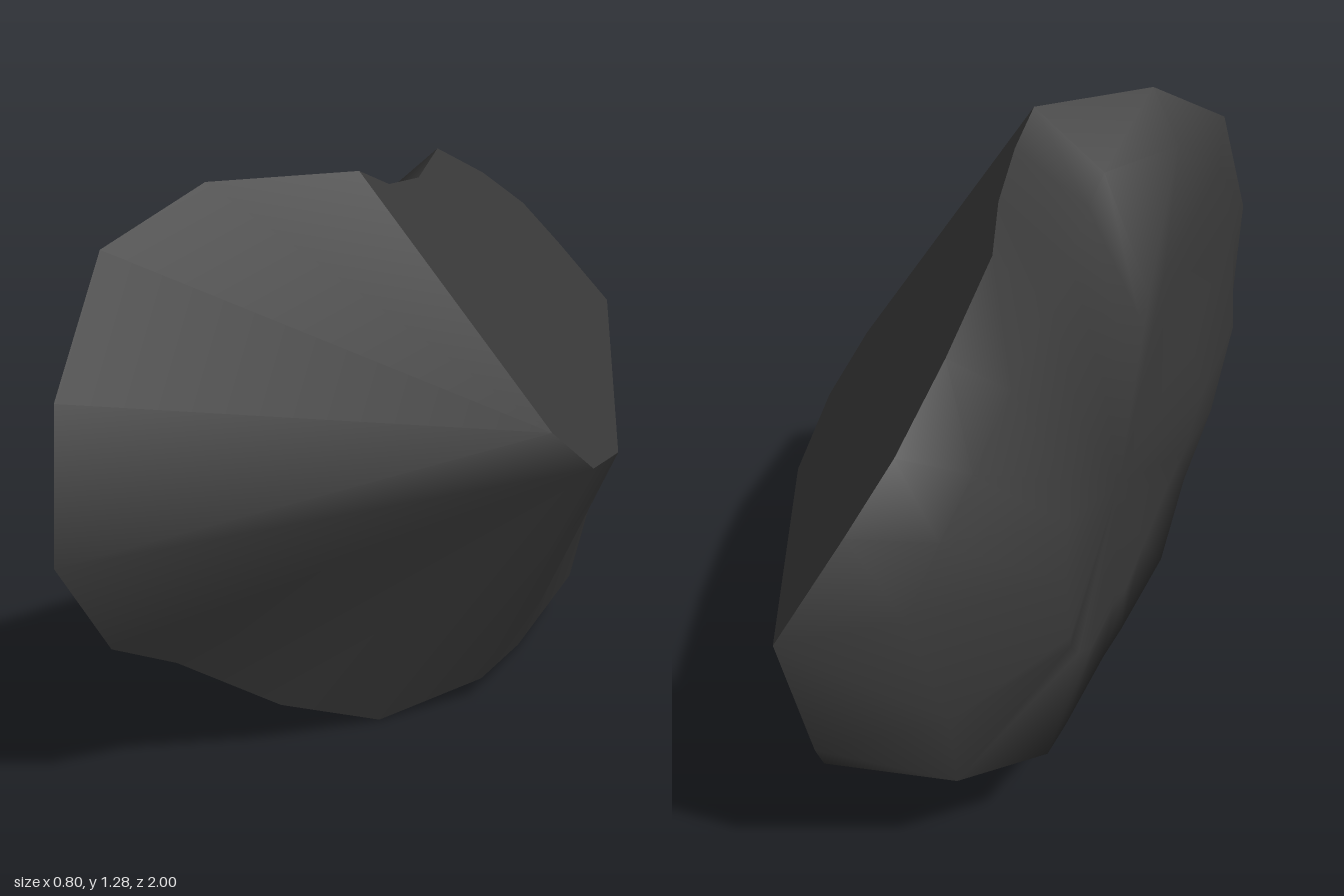
import * as THREE from 'three';
import { mergeVertices } from 'three/addons/utils/BufferGeometryUtils.js';

const V = (x, y, z) => new THREE.Vector3(x, y, z);

// x of the flat cleaved plane at a given height and depth
const onCut = (y, z) => V(0.836 - 0.739 * y + 0.301 * z, y, z);

function geometryFrom(triangles) {
  const solid = triangles.filter(([a, b, c]) => !a.equals(b) && !b.equals(c) && !a.equals(c));
  const geo = new THREE.BufferGeometry().setFromPoints(solid.flat());
  const merged = mergeVertices(geo, 1e-4);
  merged.computeVertexNormals();
  return merged;
}

// Triangles between two closed rings of equal length
function strip(inner, outer) {
  return inner.flatMap((p, i) => {
    const j = (i + 1) % inner.length;
    return [[p, outer[j], outer[i]], [p, inner[j], outer[j]]];
  });
}

export function createModel() {
  const group = new THREE.Group();
  group.name = 'rock';
  const material = new THREE.MeshStandardMaterial({ color: 0x3a3a3a });
  const add = (name, triangles) => {
    const mesh = new THREE.Mesh(geometryFrom(triangles), material);
    mesh.name = name;
    group.add(mesh);
  };

  // Corners of the cleaved face: upper rim, then lower edge
  const rim = [[1.28, 0.4], [1.23, 0.26], [1.2, 0.02], [1.21, -0.28], [1.11, -0.55],
    [1.0, -0.76], [0.88, -0.87], [0.71, -1]].map(([y, z]) => onCut(y, z));
  const [A, E] = [rim[0], rim[7]];
  const F = onCut(0.608, -0.35), D = onCut(0.58, -0.17), C = onCut(0.63, 0.1), B = onCut(0.74, 0.23);

  // Widest outline of the rock, continuing from the rim around the bottom and front
  const outline = [...rim,
    V(0, 0.39, -0.87), V(0.03, 0.28, -0.77), V(0.1, 0.11, -0.54), V(0.06, 0.005, -0.31),
    V(0.1, 0.05, 0), V(-0.06, 0, 0.2), V(-0.18, 0.11, 0.43), V(-0.29, 0.28, 0.66),
    V(-0.33, 0.37, 0.83), V(-0.33, 0.6, 1), V(-0.36, 0.9, 0.93), V(-0.33, 1.17, 0.8), V(-0.2, 1.28, 0.63)];
  // Corner of the cleaved face that each outline point joins
  const joined = [...rim, E, E, F, D, C, C, C, C, C, B, B, B, A];

  // Shoulder: slopes down from the rim, then a full lower edge along the far side
  const shoulder = [
    ...rim.slice(0, 7).map((p) => V((p.x - 0.36) / 2, 0.65 + (p.y - 0.65) * 0.82, p.z * 0.87)),
    V(-0.18, 0.71, -0.84), V(-0.24, 0.45, -0.77), V(-0.22, 0.24, -0.68), V(-0.36, 0.24, -0.53),
    V(-0.325, 0.15, -0.3), V(-0.32, 0.145, -0.02), V(-0.32, 0.135, 0.12), V(-0.355, 0.22, 0.32),
    V(-0.345, 0.32, 0.54), V(-0.355, 0.42, 0.74), V(-0.37, 0.6, 0.86), V(-0.365, 0.87, 0.82),
    V(-0.35, 1.08, 0.7), V(-0.29, 1.18, 0.54)];
  // Flank: nearly flat far side, bulging at mid height
  const flank = outline.map((p) => {
    const y = 0.63 + (p.y - 0.65) * 0.54;
    return V(-0.337 - 0.06 * Math.exp(-(((y - 0.6) / 0.2) ** 2)), y, p.z * 0.5 - 0.03);
  });
  const centre = V(-0.35, 0.62, -0.05);
  const cap = flank.map((p, i) => [p, flank[(i + 1) % flank.length], centre]);

  add('ridgedSide', strip(joined, outline));
  add('roughBack', [...strip(outline, shoulder), ...strip(shoulder, flank), ...cap]);

  // Flat cleaved face
  const face = [...rim, F, D, C, B];
  const mid = onCut(0.9, -0.2);
  add('cleavedFace', face.map((p, i) => [mid, face[(i + 1) % face.length], p]));

  return group;
}
